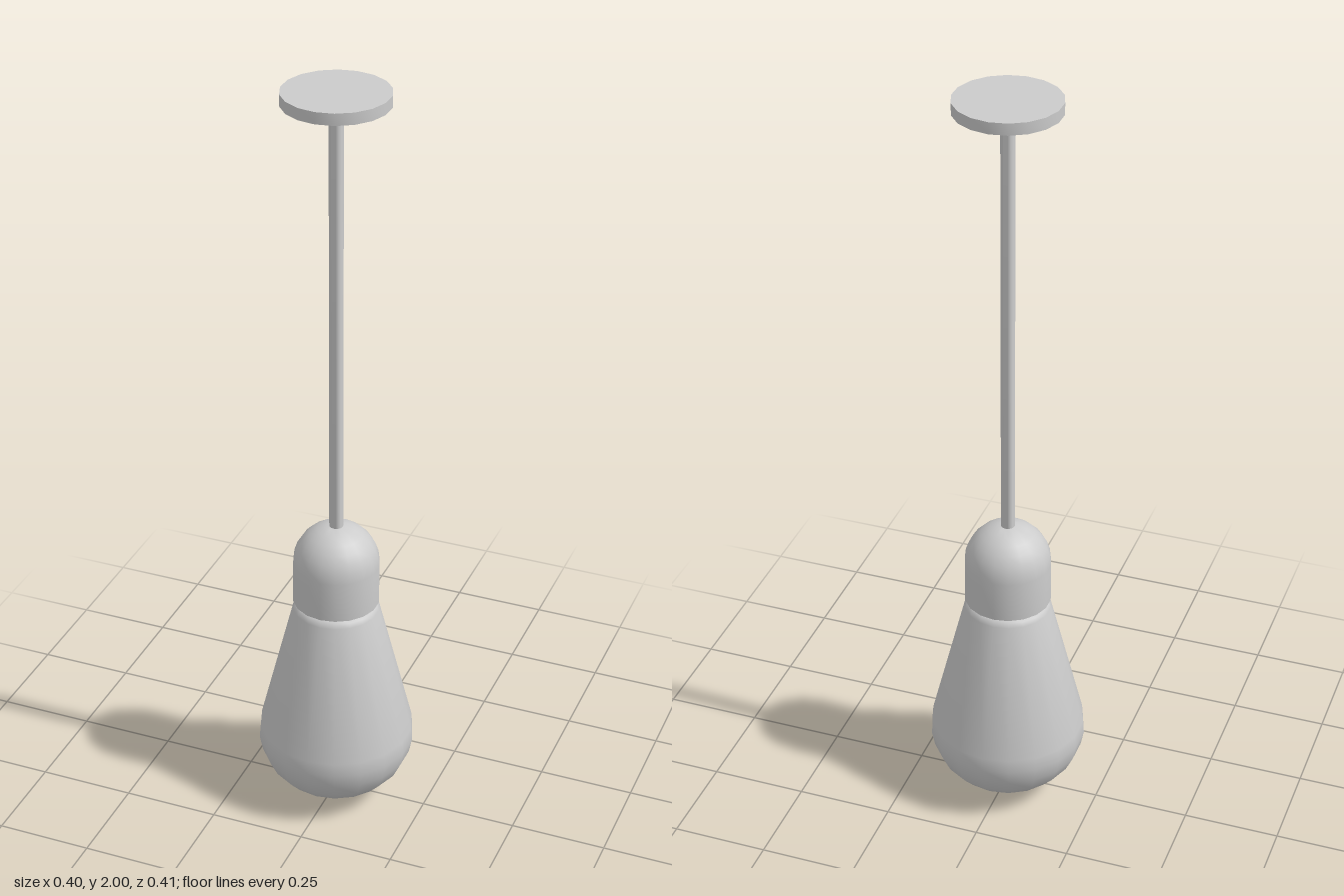
import * as THREE from 'three';
import { toCreasedNormals } from 'three/addons/utils/BufferGeometryUtils.js';

const SIDES = 18;
const material = new THREE.MeshStandardMaterial({ color: 0xcccccc, side: THREE.DoubleSide });

// Revolve a [radius, height] profile, listed bottom to top, keeping sharp rims
function turned(name, profile, crease = 0.8) {
  const points = profile.map(([r, y]) => new THREE.Vector2(r, y));
  const geometry = toCreasedNormals(new THREE.LatheGeometry(points, SIDES), crease);
  const mesh = new THREE.Mesh(geometry, material);
  mesh.name = name;
  return mesh;
}

export function createModel() {
  const group = new THREE.Group();
  group.name = 'pendantLamp';

  // Flat disc against the ceiling
  group.add(turned('ceilingPlate', [[0, 1.97], [0.133, 1.97], [0.133, 2], [0, 2]]));

  // Straight hanging cable
  group.add(turned('cable', [[0.018, 0.8], [0.018, 1.975]]));

  // Socket: straight sleeve closed by a dome
  const socket = [[0, 0.602], [0.112, 0.602]];
  const domeSteps = 7;
  for (let i = 0; i <= domeSteps; i++) {
    const a = (i / domeSteps) * Math.PI / 2;
    socket.push([0.112 * Math.cos(a), 0.712 + 0.112 * Math.sin(a)]);
  }
  group.add(turned('socket', socket));

  // Pear-shaped bulb with a slightly pointed bottom and a rounded-in neck
  group.add(turned('bulb', [
    [0, 0.005], [0.05, 0.018], [0.102, 0.036], [0.145, 0.063], [0.177, 0.098],
    [0.197, 0.14], [0.205, 0.18], [0.202, 0.216],
    [0.112, 0.578], [0.107, 0.59], [0.098, 0.596], [0, 0.603],
  ], 1.0));

  return group;
}
